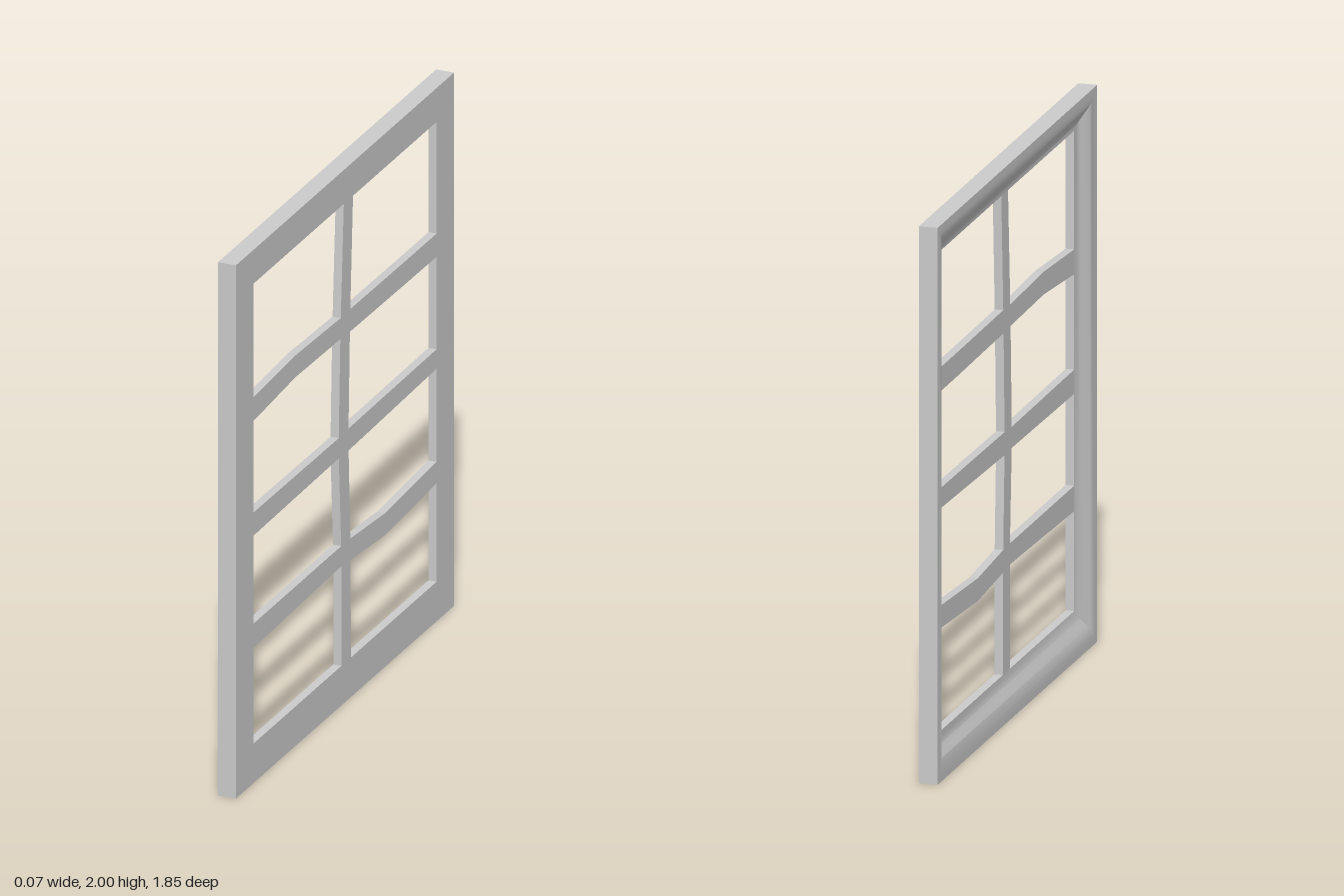
import * as THREE from 'three';
import { toCreasedNormals } from 'three/addons/utils/BufferGeometryUtils.js';

const BACK = -0.037, FACE = 0.031;   // x of the frame's outer faces
const LATTICE_BACK = 0;              // x of the recessed rear of the bars
const OPENING = { half: 0.777, y0: 0.148, y1: 1.873 };

// Mullion edges as [y, z of +z edge, z of -z edge], bottom to top
const MULLION = [
  [OPENING.y0, 0.03, -0.05], [0.56, 0.03, -0.047], [0.94, 0.053, -0.03],
  [1.02, 0.053, -0.03], [1.42, 0.038, -0.043], [OPENING.y1, 0.01, -0.068],
];

// z of a mullion edge at height y (side 1 = +z edge, 2 = -z edge)
function mullionEdge(y, side) {
  const i = Math.max(1, MULLION.findIndex((m) => m[0] >= y));
  const a = MULLION[i - 1], b = MULLION[i];
  return THREE.MathUtils.lerp(a[side], b[side], (y - a[0]) / (b[0] - a[0]));
}

// Flat bar cut from a [z, y] outline, standing in the z-y plane
function bar(name, material, outline) {
  const shape = new THREE.Shape(outline.map(([z, y]) => new THREE.Vector2(-z, y)));
  const geometry = new THREE.ExtrudeGeometry(shape, { depth: FACE - LATTICE_BACK, bevelEnabled: false });
  geometry.rotateY(Math.PI / 2).translate(LATTICE_BACK, 0, 0);
  const mesh = new THREE.Mesh(geometry, material);
  mesh.name = name;
  return mesh;
}

// Mitred frame: a closed profile of [t, x], t = 0 at the outer edge and 1 at the opening
function outerFrame(material) {
  const { lerp, smoothstep } = THREE.MathUtils;
  const profile = [[0, FACE], [1, FACE]];
  const steps = 8;
  for (let i = steps; i >= 0; i--) {
    const t = i / steps;
    profile.push([t, lerp(BACK, LATTICE_BACK, smoothstep(t, 0.25, 1))]);
  }
  const positions = [], index = [];
  profile.forEach(([t, x], ring) => {
    const z = lerp(0.925, OPENING.half, t), y0 = lerp(0, OPENING.y0, t), y1 = lerp(2, OPENING.y1, t);
    positions.push(x, y0, z, x, y0, -z, x, y1, -z, x, y1, z);
    const next = (ring + 1) % profile.length;
    for (let c = 0; c < 4; c++) {
      const d = (c + 1) % 4;
      const a = ring * 4 + c, b = ring * 4 + d, e = next * 4 + d, f = next * 4 + c;
      index.push(a, b, e, a, e, f);
    }
  });
  const geometry = new THREE.BufferGeometry();
  geometry.setAttribute('position', new THREE.Float32BufferAttribute(positions, 3));
  geometry.setIndex(index);
  const mesh = new THREE.Mesh(toCreasedNormals(geometry, 0.5), material);
  mesh.name = 'outerFrame';
  return mesh;
}

export function createModel() {
  const group = new THREE.Group();
  group.name = 'latticeWindow';
  const material = new THREE.MeshStandardMaterial({ color: 0xcccccc });

  // Frame whose rear slopes in to the thinner lattice
  group.add(outerFrame(material));

  // Crooked upright bar
  group.add(bar('mullion', material, [
    ...MULLION.map(([y, z]) => [z, y]),
    ...MULLION.map(([y, , z]) => [z, y]).reverse(),
  ]));

  // Crooked cross bars: [z, top y, bottom y] from the frame inwards, then the y pair at the mullion
  const edge = OPENING.half;
  const bars = [
    { name: 'upperFrontBar', side: 1, points: [[edge, 1.447, 1.358], [0.42, 1.465, 1.383]], end: [1.455, 1.377] },
    { name: 'upperBackBar', side: 2, points: [[-edge, 1.454, 1.367], [-0.56, 1.454, 1.368]], end: [1.457, 1.373] },
    { name: 'middleFrontBar', side: 1, points: [[edge, 1.015, 0.928]], end: [1.011, 0.935] },
    { name: 'middleBackBar', side: 2, points: [[-edge, 1.02, 0.947]], end: [1.015, 0.932] },
    { name: 'lowerFrontBar', side: 1, points: [[edge, 0.598, 0.507]], end: [0.598, 0.522] },
    { name: 'lowerBackBar', side: 2, points: [[-edge, 0.598, 0.517], [-0.34, 0.576, 0.494]], end: [0.596, 0.515] },
  ];
  for (const { name, side, points, end } of bars) {
    const top = [...points.map(([z, t]) => [z, t]), [mullionEdge(end[0], side), end[0]]];
    const bottom = [...points.map(([z, , b]) => [z, b]), [mullionEdge(end[1], side), end[1]]];
    // Follow the upright's bend between the two ends so no gap is left
    const bends = MULLION.filter((m) => m[0] < end[0] && m[0] > end[1]).reverse().map((m) => [m[side], m[0]]);
    group.add(bar(name, material, [...top, ...bends, ...bottom.reverse()]));
  }
  return group;
}
